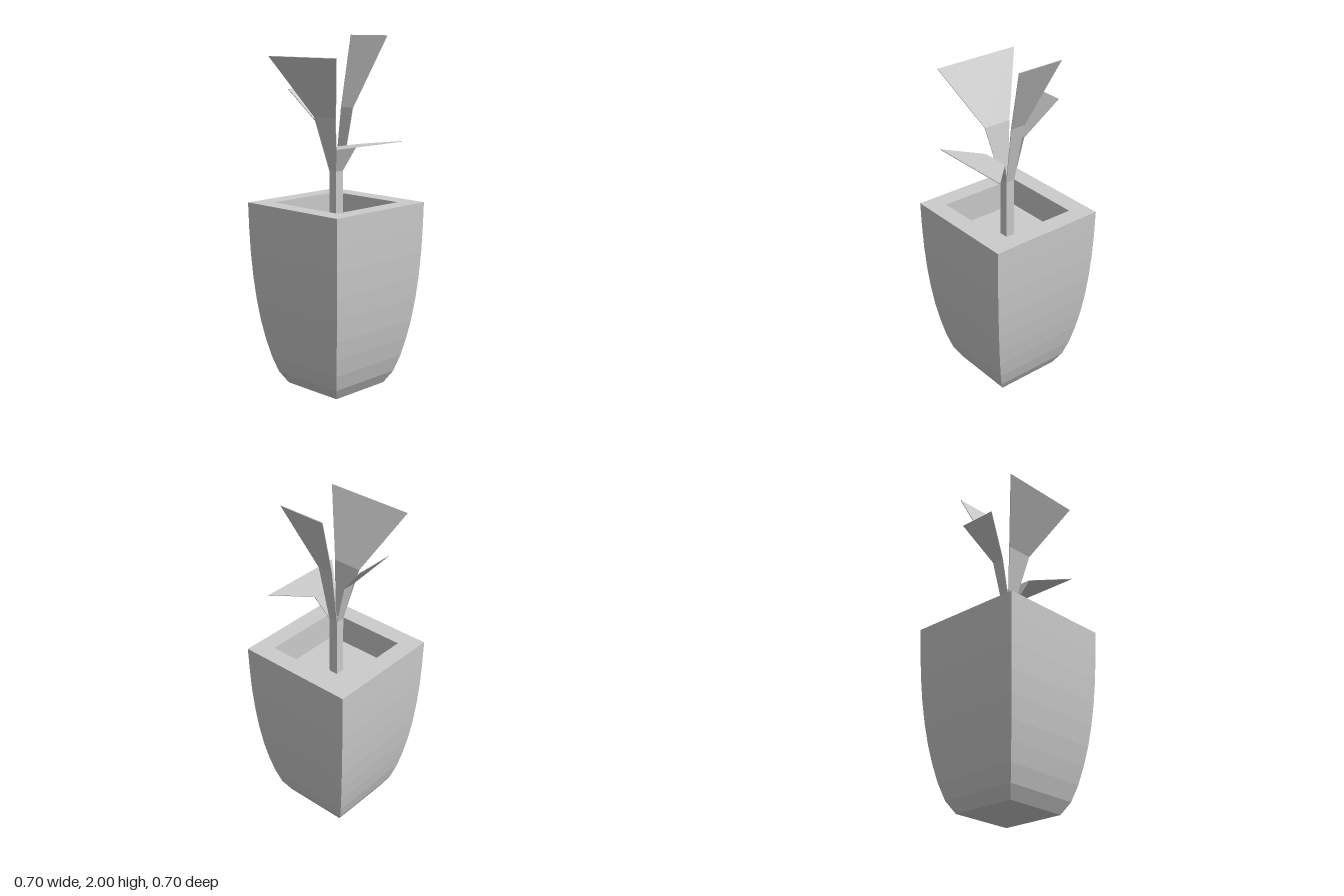
import * as THREE from 'three';

const material = new THREE.MeshStandardMaterial({ color: 0xcccccc, flatShading: true });

// Closed solid through four-cornered rings; each ring is [halfWidth, frontZ, frontY, backZ, backY].
function loft(name, rings) {
  const corners = rings.map(([w, fz, fy, bz, by]) => [[-w, fy, fz], [w, fy, fz], [w, by, bz], [-w, by, bz]]);
  const positions = [];
  const quad = (a, b, c, d) => positions.push(...a, ...b, ...c, ...a, ...c, ...d);
  for (let i = 0; i < corners.length - 1; i++) {
    const lo = corners[i], hi = corners[i + 1];
    for (let j = 0; j < 4; j++) {
      const k = (j + 1) % 4;
      quad(lo[j], lo[k], hi[k], hi[j]);
    }
  }
  quad(...[...corners[0]].reverse());
  quad(...corners[corners.length - 1]);
  const geometry = new THREE.BufferGeometry();
  geometry.setAttribute('position', new THREE.Float32BufferAttribute(positions, 3));
  geometry.computeVertexNormals();
  const mesh = new THREE.Mesh(geometry, material);
  mesh.name = name;
  return mesh;
}

const square = (half, y) => [half, half, y, -half, y];

// Thin bent leaf; profile points are [reach, height, halfWidth] from base to tip.
function leaf(name, angle, profile) {
  const thickness = 0.004;
  const rings = profile.map(([z, y, w], i) => {
    const before = profile[Math.max(i - 1, 0)];
    const after = profile[Math.min(i + 1, profile.length - 1)];
    const dz = after[0] - before[0], dy = after[1] - before[1];
    const s = thickness / Math.hypot(dz, dy);
    return [w, z, y, z - dy * s, y + dz * s];
  });
  const mesh = loft(name, rings);
  mesh.rotation.y = angle;
  return mesh;
}

export function createModel() {
  const group = new THREE.Group();
  group.name = 'pottedPlant';

  // Square pot: curved outside, flat rim, straight inner walls down to the soil
  const pot = [
    [0.195, 0], [0.236, 0.07], [0.265, 0.165], [0.288, 0.27], [0.307, 0.38], [0.323, 0.505],
    [0.335, 0.635], [0.344, 0.78], [0.349, 0.92], [0.352, 1.07], [0.246, 1.07], [0.246, 0.9],
  ];
  group.add(loft('pot', pot.map(([half, y]) => square(half, y))));

  // Stem
  group.add(loft('stem', [square(0.027, 0.9), square(0.027, 1.25)]));

  // Four leaves, each flaring outward past its bend
  const base = [0.027, 1.25, 0.027];
  group.add(
    leaf('frontLeaf', 0, [base, [0.09, 1.555, 0.085], [0.265, 1.888, 0.262]]),
    leaf('leftLeaf', Math.PI / 2, [base, [0.087, 1.398, 0.085], [0.262, 1.414, 0.262]]),
    leaf('backLeaf', Math.PI, [base, [0.09, 1.6, 0.046], [0.267, 1.998, 0.141]]),
    leaf('rightLeaf', -Math.PI / 2, [base, [0.089, 1.494, 0.038], [0.266, 1.699, 0.115]]),
  );
  return group;
}
